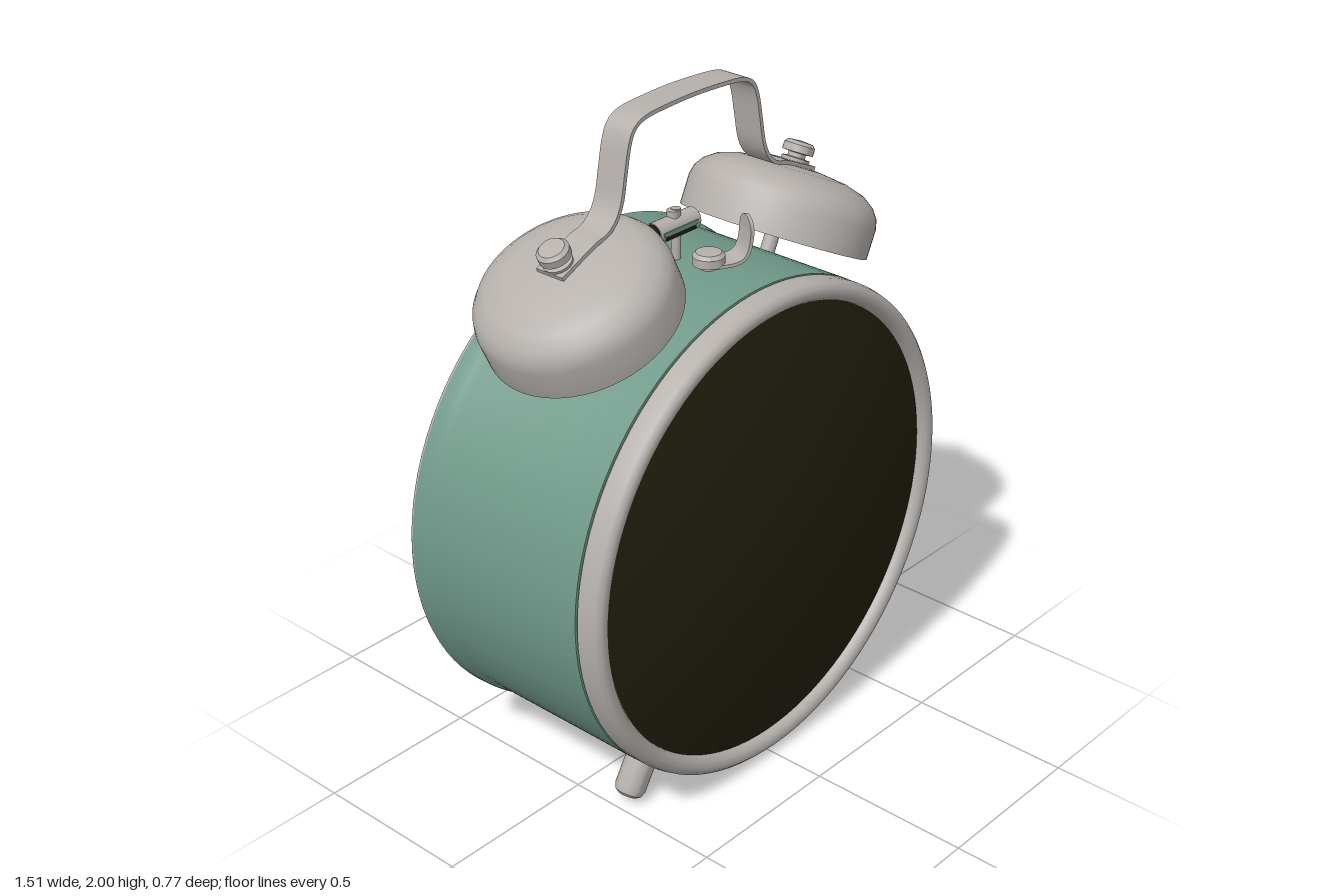
import * as THREE from 'three';
import { toCreasedNormals } from 'three/addons/utils/BufferGeometryUtils.js';

const mat = (name, color, side = THREE.FrontSide) => {
  const m = new THREE.MeshStandardMaterial({ color, side });
  m.name = name;
  return m;
};
const CY = 0.76; // height of the case centre

export function createModel() {
  const root = new THREE.Group();
  root.name = 'alarmClock';
  const metal = mat('warm grey metal', 0xb5b0ac, THREE.DoubleSide);
  const green = mat('sage green enamel', 0x70998a);
  const dark = mat('dark olive', 0x211f0f);

  const add = (parent, name, geo, material, x = 0, y = 0, z = 0) => {
    const m = new THREE.Mesh(geo, material);
    m.name = name;
    m.position.set(x, y, z);
    parent.add(m);
    return m;
  };
  // Turned part from [radius, height] pairs, listed counter-clockwise
  const turned = (pts, seg = 32, crease = 0.6) => toCreasedNormals(
    new THREE.LatheGeometry(pts.map(([r, h]) => new THREE.Vector2(r, h)), seg), crease);
  // Turned part whose axis runs front to back
  const turnedZ = (pts, seg) => turned(pts, seg).rotateX(Math.PI / 2);
  const cyl = (r, h, seg = 24) => new THREE.CylinderGeometry(r, r, h, seg);
  // Bent sheet strip: a 2D path given thickness and width
  const strip = (path, thick, width) => {
    const side = (k) => path.map((p, i) => {
      const a = path[Math.max(i - 1, 0)], b = path[Math.min(i + 1, path.length - 1)];
      const t = b.clone().sub(a).normalize();
      return new THREE.Vector2(p.x - t.y * k, p.y + t.x * k);
    });
    const shape = new THREE.Shape([...side(-thick / 2), ...side(thick / 2).reverse()]);
    const g = new THREE.ExtrudeGeometry(shape, { depth: width, bevelEnabled: false });
    return toCreasedNormals(g.translate(0, 0, -width / 2), 0.6);
  };
  const smooth = (pts, n) => new THREE.SplineCurve(pts.map(([x, y]) => new THREE.Vector2(x, y))).getPoints(n);

  // Case with flared open back
  add(root, 'caseShell', turnedZ([
    [0.715, -0.26], [0.73, -0.29], [0.745, -0.335], [0.747, -0.368], [0.755, -0.368],
    [0.755, -0.335], [0.75, -0.31], [0.743, -0.285], [0.743, 0.25], [0.69, 0.25],
  ], 96), green, 0, CY, 0);
  add(root, 'backRim', new THREE.TorusGeometry(0.749, 0.007, 8, 96), metal, 0, CY, -0.368);

  // Front bezel and domed glass
  add(root, 'bezel', turnedZ([
    [0.7, 0.25], [0.735, 0.25], [0.742, 0.257], [0.742, 0.295], [0.737, 0.315],
    [0.725, 0.327], [0.71, 0.33], [0.695, 0.324], [0.685, 0.312], [0.68, 0.29],
  ], 96), metal, 0, CY, 0);
  const dome = [];
  for (let i = 0; i <= 14; i++) {
    const r = 0.685 * (1 - i / 14);
    dome.push([r, 0.385 - 0.182 * r * r]);
  }
  add(root, 'glass', turnedZ(dome, 96), dark, 0, CY, 0);

  // Back panel with raised plateau, knobs, battery door and screws
  add(root, 'backPanel', turnedZ([
    [0, -0.345], [0.62, -0.345], [0.645, -0.338], [0.66, -0.32], [0.665, -0.285],
    [0.68, -0.275], [0.725, -0.27],
  ], 96), dark, 0, CY, 0);
  for (const s of [-1, 1]) {
    add(root, 'settingKnob', cyl(0.054, 0.045).rotateX(Math.PI / 2), dark, s * 0.245, 0.98, -0.3625);
  }
  const frame = (w, h, t, d) => {
    const rect = (C, a, b) => new C([[-a, -b], [a, -b], [a, b], [-a, b]].map(([x, y]) => new THREE.Vector2(x / 2, y / 2)));
    const shape = rect(THREE.Shape, w, h);
    shape.holes.push(rect(THREE.Path, w - 2 * t, h - 2 * t));
    return new THREE.ExtrudeGeometry(shape, { depth: d, bevelEnabled: false });
  };
  add(root, 'batteryDoor', new THREE.BoxGeometry(0.6, 0.38, 0.012), dark, 0, 0.5, -0.348);
  add(root, 'batteryDoorFrame', frame(0.4, 0.23, 0.015, 0.01), dark, 0, 0.52, -0.362);
  add(root, 'batteryLatch', frame(0.2, 0.07, 0.015, 0.02), dark, 0, 0.29, -0.366);
  add(root, 'centreScrew', cyl(0.012, 0.012, 12).rotateX(Math.PI / 2), metal, 0, CY, -0.348);
  for (const deg of [33, 147, 270]) {
    const a = deg * Math.PI / 180;
    add(root, 'panelScrew', cyl(0.02, 0.03, 16).rotateX(Math.PI / 2), metal,
      0.685 * Math.cos(a), CY + 0.685 * Math.sin(a), -0.285);
  }

  // Bells, posts, cap nuts and feet, mirrored
  const bellProfile = [[0.281, 0], [0.281, 0.09], [0.274, 0.118], [0.255, 0.145],
    [0.22, 0.17], [0.16, 0.188], [0.08, 0.198], [0, 0.2]];
  const capNut = [[0, 0.195], [0.038, 0.195], [0.042, 0.22], [0.026, 0.222], [0.026, 0.234],
    [0.046, 0.236], [0.046, 0.258], [0.036, 0.268], [0, 0.271]];
  const foot = [[0, 0], [0.028, 0.002], [0.04, 0.01], [0.046, 0.026], [0.046, 0.16]];
  for (const s of [-1, 1]) {
    const bell = new THREE.Group();
    bell.name = s > 0 ? 'leftBell' : 'rightBell';
    bell.position.set(s * 0.39, 1.46, -0.035);
    bell.rotation.z = -s * 0.451;
    add(bell, 'bellDome', turned(bellProfile, 64), metal);
    add(bell, 'bellPost', cyl(0.022, 0.29), metal, 0, 0.05, 0);
    add(bell, 'capNut', turned(capNut), metal);
    root.add(bell);
    const f = add(root, s > 0 ? 'leftFoot' : 'rightFoot', turned(foot), metal, s * 0.462, 0.025, 0.16);
    f.rotation.z = s * 0.56;
  }

  // Carrying handle, bolted under the cap nuts
  const half = [[-0.515, 1.628], [-0.455, 1.655], [-0.39, 1.684], [-0.345, 1.697], [-0.31, 1.727],
    [-0.287, 1.775], [-0.272, 1.85], [-0.257, 1.92], [-0.235, 1.962], [-0.19, 1.983], [-0.1, 1.991]];
  const full = [...half, [0, 1.994], ...half.map(([x, y]) => [-x, y]).reverse()];
  add(root, 'handle', strip(smooth(full, 110), 0.012, 0.095), metal, 0, 0, -0.035);

  // Striker between the bells
  const striker = new THREE.Group();
  striker.name = 'striker';
  striker.position.set(-0.02, 1.602, -0.053);
  root.add(striker);
  add(striker, 'strikerHead', cyl(0.032, 0.162).rotateZ(Math.PI / 2), metal);
  for (const s of [-1, 1]) {
    add(striker, 'strikerFace', cyl(0.029, 0.004).rotateZ(Math.PI / 2), dark, s * 0.082, 0, 0);
  }
  add(striker, 'strikerSlotEdge', new THREE.BoxGeometry(0.14, 0.012, 0.006), green, 0, 0.002, 0.031);
  add(striker, 'strikerSlot', new THREE.BoxGeometry(0.12, 0.014, 0.006), dark, 0, -0.011, 0.029);
  add(striker, 'strikerRod', cyl(0.014, 0.16, 16), metal, 0.012, -0.03, 0);
  add(striker, 'strikerNut', cyl(0.018, 0.02, 16), metal, 0, 0.038, 0);

  // Shut-off button with bent lever
  const lever = new THREE.Group();
  lever.name = 'alarmLever';
  lever.position.set(0, 1.5, 0.06);
  lever.rotation.y = -0.46;
  root.add(lever);
  add(lever, 'leverButton', turned([[0, -0.02], [0.022, -0.02], [0.022, 0.015], [0.046, 0.017],
    [0.046, 0.042], [0.036, 0.052], [0, 0.055]]), metal);
  add(lever, 'leverBlade', strip(smooth([[0, 0.018], [0.06, 0.018], [0.092, 0.03], [0.107, 0.06],
    [0.113, 0.105]], 20), 0.01, 0.08), metal);
  add(lever, 'leverTip', cyl(0.04, 0.01).rotateZ(Math.PI / 2), metal, 0.113, 0.105, 0);

  return root;
}
